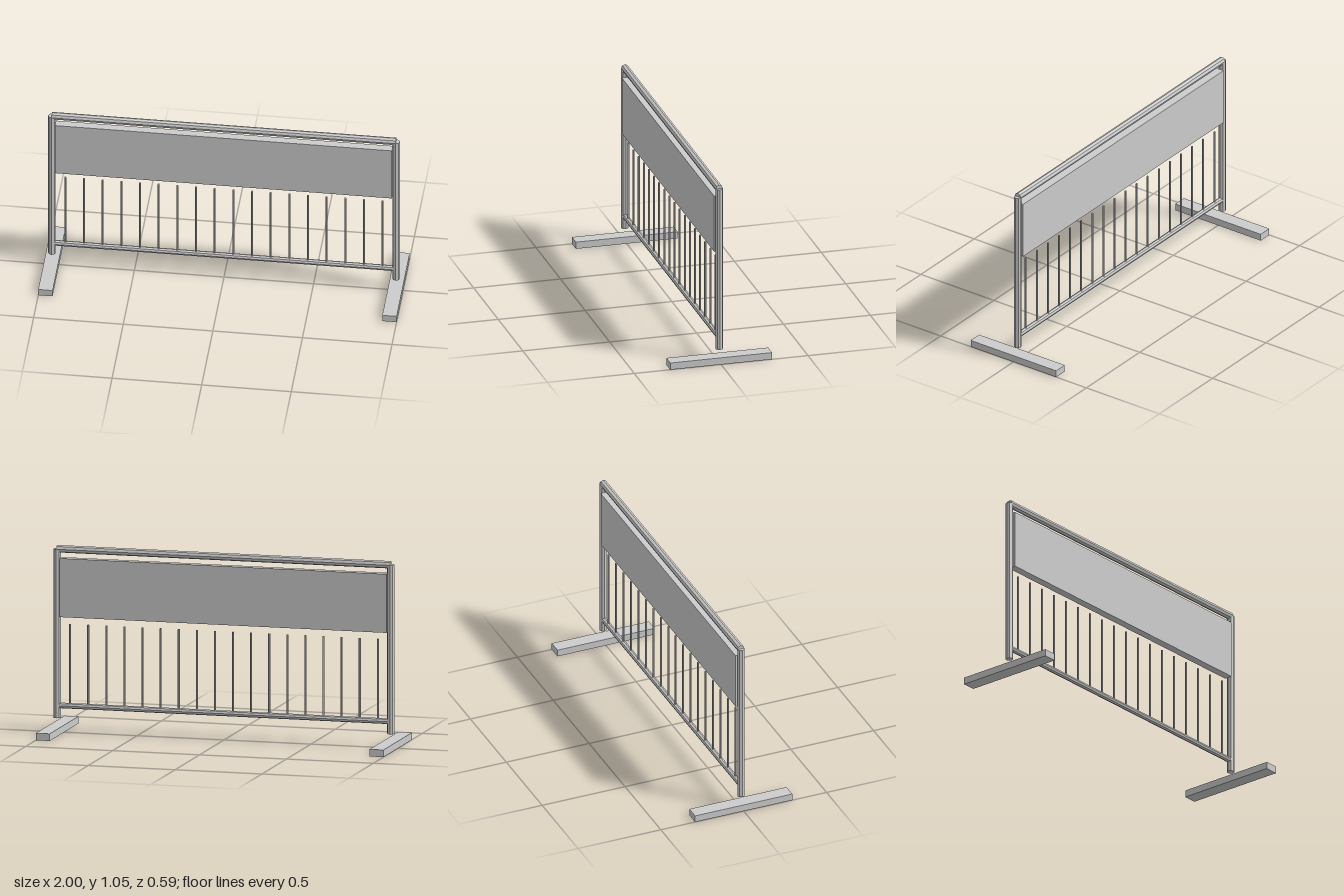
import * as THREE from 'three';

export function createModel() {
  const group = new THREE.Group();
  const material = new THREE.MeshStandardMaterial({ color: 0xcccccc, flatShading: true });

  const add = (name, geometry, x, y, z = 0) => {
    const mesh = new THREE.Mesh(geometry, material);
    mesh.name = name;
    mesh.position.set(x, y, z);
    group.add(mesh);
    return mesh;
  };
  const tube = (radius, length, sides) => new THREE.CylinderGeometry(radius, radius, length, sides);

  // Posts and ground feet, mirrored left and right
  for (const [side, s] of [['left', 1], ['right', -1]]) {
    add(`${side}Post`, tube(0.021, 0.95, 8), s * 0.96, 0.555);
    add(`${side}Foot`, new THREE.BoxGeometry(0.08, 0.04, 0.586), s * 0.96, 0.02);
  }

  // Horizontal rails
  add('topRail', tube(0.021, 1.92, 8), 0, 1.03).rotation.z = Math.PI / 2;
  add('bottomRail', tube(0.016, 1.92, 8), 0, 0.15).rotation.z = Math.PI / 2;

  // Solid sign panel
  add('panel', new THREE.BoxGeometry(1.88, 0.33, 0.046), 0, 0.815);

  // Thin vertical bars
  const count = 18;
  const barGeometry = tube(0.006, 0.46, 6);
  for (let i = 0; i < count; i++) {
    add(`bar${i + 1}`, barGeometry, -0.885 + (1.77 * i) / (count - 1), 0.38);
  }

  return group;
}
